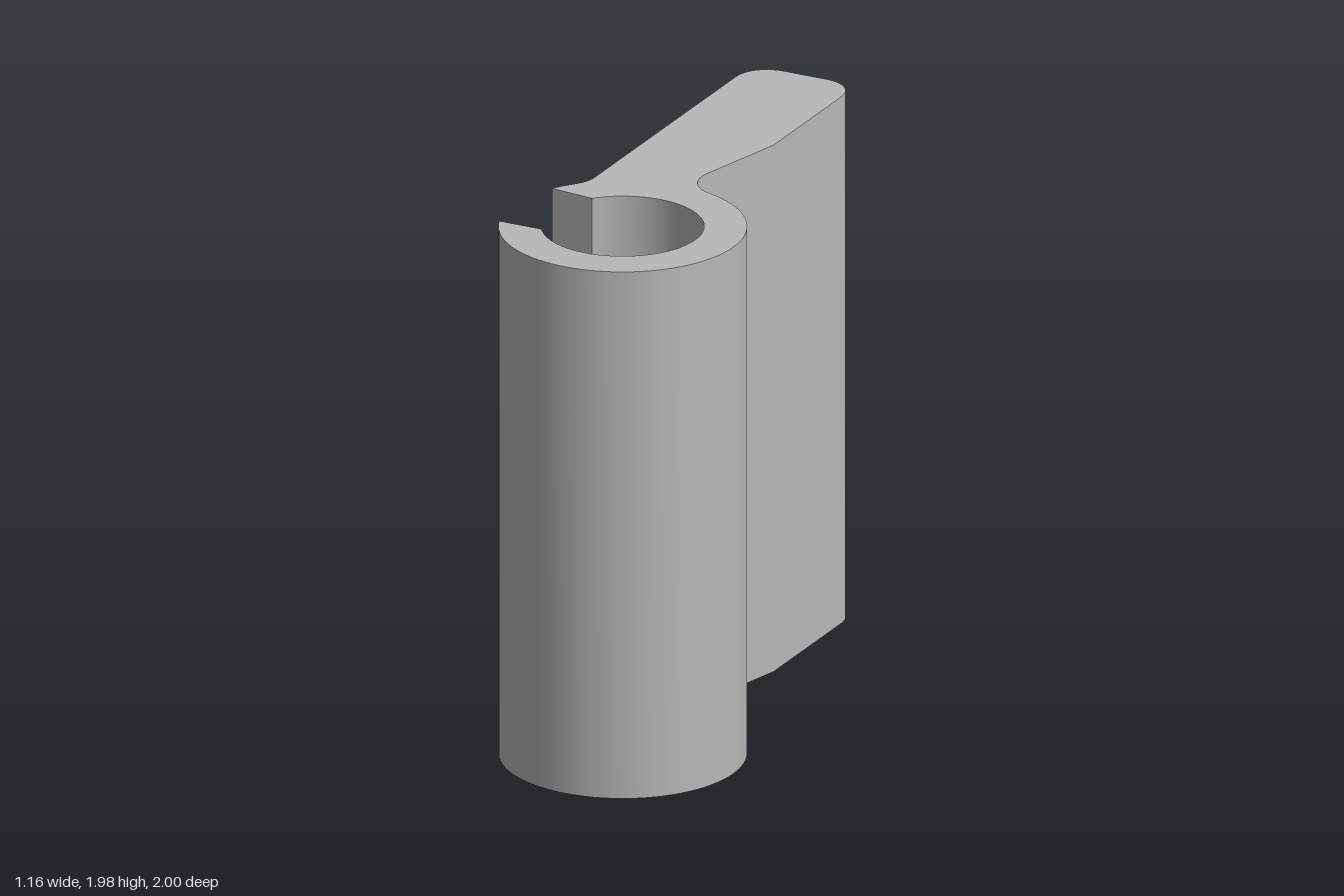
import * as THREE from 'three';
import { mergeGeometries, toCreasedNormals } from 'three/addons/utils/BufferGeometryUtils.js';
import { ConvexGeometry } from 'three/addons/geometries/ConvexGeometry.js';

const H = 1.98;                         // body height
const CX = 0.145, CZ = 0.565;           // axis of the round socket
const R = 0.435, BORE = 0.285, HOLE = 0.135, LOWER_BORE = 0.25;
const SEAT_Y = 1.22, VALLEY = -0.005;   // lowest point of the cone seat and slot
const rad = THREE.MathUtils.degToRad, lerp = THREE.MathUtils.lerp;
const V3 = (x, y, z) => new THREE.Vector3(x, y, z);

// Surface through rows of points; faces along (column direction x row direction)
function grid(rows) {
  const w = rows[0].length, index = [];
  for (let i = 0; i < rows.length - 1; i++)
    for (let j = 0; j < w - 1; j++) {
      const a = i * w + j, b = a + 1, c = a + w, d = c + 1;
      index.push(a, b, c, b, d, c);
    }
  const g = new THREE.BufferGeometry().setFromPoints(rows.flat());
  g.setIndex(index);
  return g.toNonIndexed();
}

// Flat horizontal cap from plan points {x, z}
function cap(points, hole, y, up) {
  const s = up ? -1 : 1;
  const plan = list => list.map(p => new THREE.Vector2(p.x, s * p.z));
  const shape = new THREE.Shape(plan(points));
  if (hole) shape.holes.push(new THREE.Path(plan(hole)));
  const g = new THREE.ShapeGeometry(shape).toNonIndexed();
  g.rotateX(s * Math.PI / 2).translate(0, y, 0);
  g.deleteAttribute('normal');
  g.deleteAttribute('uv');
  return g;
}

function arc(x, z, r, from, to, n) {
  return Array.from({ length: n + 1 }, (_, i) => {
    const a = lerp(from, to, i / n);
    return { x: x + r * Math.cos(a), z: z + r * Math.sin(a) };
  });
}

// V-shaped slot: v runs -1..1 across it, t runs 0..1 from bore to outside
const vFloor = z => SEAT_Y + Math.abs(z - CZ - VALLEY);
function slotPoint(v, t) {
  const dz = VALLEY + v * (v < 0 ? lerp(0.18, 0.2, t) : 0.16);
  const r = lerp(BORE, R, t);
  return { x: CX - Math.sqrt(r * r - dz * dz), z: CZ + dz };
}
const across = Array.from({ length: 25 }, (_, i) => i / 12 - 1);
const along = [0, 0.25, 0.5, 0.75, 1];
const angleOf = p => {
  const a = Math.atan2(p.z - CZ, p.x - CX);
  return a < 0 ? a + 2 * Math.PI : a;
};

function bodyGeometry() {
  // Plan outline, split where the slot opens
  const beforeSlot = [
    ...arc(-0.035, -0.88, 0.12, rad(-90), rad(-180), 10),
    ...arc(-0.281, 0.2, 0.126, 0, rad(40.6), 6),
    ...arc(CX, CZ, R, rad(219), angleOf(slotPoint(-1, 1)), 4),
  ];
  const slotMouth = across.map(v => slotPoint(v, 1));
  const afterSlot = [
    ...arc(CX, CZ, R, angleOf(slotPoint(1, 1)), rad(-73.3), 56),
    ...arc(0.309, 0.019, 0.135, rad(106.7), rad(194), 12).slice(1),
    ...arc(0.14, -0.88, 0.12, 0, rad(-90), 10),
  ];
  afterSlot.splice(-11, 0, { x: 0.26, z: -0.36 });

  // Outer wall, lowered to the slot floor at the slot mouth
  const at = (list, y) => list.map(p => V3(p.x, typeof y === 'number' ? y : y(p.z), p.z));
  const loop = [...beforeSlot, ...slotMouth, ...afterSlot, beforeSlot[0]];
  const rim = [...at(beforeSlot, H), ...at(slotMouth, vFloor), ...at([...afterSlot, beforeSlot[0]], H)];
  const outerWall = grid([at(loop, 0), rim]);

  // Stepped bore: socket wall, cone seat cut by the slot, through hole, lower bore
  const slotAngles = across.map(v => angleOf(slotPoint(v, 0)));
  const a0 = slotAngles[0], a1 = slotAngles[across.length - 1];
  const restAngles = Array.from({ length: 57 }, (_, i) => lerp(a1, a0 - 2 * Math.PI, i / 56));
  const columns = [
    ...slotAngles.map(a => ({ a, slot: true })),
    ...restAngles.map(a => ({ a, slot: false })),
    { a: a0 - 2 * Math.PI, slot: true },
  ];
  const ring = (r, yAt) => columns.map(c => {
    const z = CZ + r * Math.sin(c.a);
    return V3(CX + r * Math.cos(c.a), yAt(z, c.slot), z);
  });
  const seat = r => ring(r, (z, slot) => {
    const cone = SEAT_Y + r - HOLE;
    return slot ? Math.min(cone, vFloor(z)) : cone;
  });
  const rows = [ring(BORE, (z, slot) => slot ? vFloor(z) : H)];
  for (let i = 0; i <= 12; i++) rows.push(seat(lerp(BORE, HOLE, i / 12)));
  for (const [r, y] of [[HOLE, 0.42], [LOWER_BORE, 0.3], [LOWER_BORE, 0]]) rows.push(ring(r, () => y));
  const bore = grid(rows);

  // Slot floor and side walls
  const outIn = [...along].reverse();
  const floor = grid(outIn.map(t => at(across.map(v => slotPoint(v, t)), vFloor)));
  const side = (v, ts) => {
    const line = ts.map(t => slotPoint(v, t));
    return grid([at(line, H), at(line, vFloor)]);
  };

  // Caps
  const innerArc = restAngles.map(a => ({ x: CX + BORE * Math.cos(a), z: CZ + BORE * Math.sin(a) })).reverse();
  const top = cap([
    ...beforeSlot, ...outIn.slice(1, -1).map(t => slotPoint(-1, t)),
    ...innerArc, ...along.slice(1, -1).map(t => slotPoint(1, t)), ...afterSlot,
  ], null, H, true);
  const lowerRim = columns.filter((c, i) => i < columns.length - 2 && i !== across.length)
    .map(c => ({ x: CX + LOWER_BORE * Math.cos(c.a), z: CZ + LOWER_BORE * Math.sin(c.a) }));
  const bottom = cap([...beforeSlot, ...slotMouth.slice(1, -1), ...afterSlot], lowerRim, 0, false);

  return toCreasedNormals(
    mergeGeometries([outerWall, bore, floor, side(-1, along), side(1, outIn), top, bottom]), 0.2);
}

export function createModel() {
  const grey = new THREE.MeshStandardMaterial({ color: 0xb8b8b8 });
  grey.name = 'plain grey';
  const group = new THREE.Group();
  group.name = 'slottedSocketBracket';
  const add = (name, geometry) => {
    const mesh = new THREE.Mesh(geometry, grey);
    mesh.name = name;
    group.add(mesh);
  };

  add('socketBody', bodyGeometry());

  // T-shaped hook on the right side of the web
  const Z = -0.5975, OUT = -0.585;
  const stem = [V3(-0.15, 1.23, Z), V3(OUT, 1.23, Z)];
  const head = [];
  for (const s of [-1, 1]) {
    const z = Z + s * 0.0825, zHead = Z + s * 0.1675;
    stem.push(V3(-0.15, 0, z), V3(-0.46, 0, z), V3(OUT, 0.125, z), V3(OUT, 1.148, z), V3(-0.15, 1.148, z));
    for (const x of [OUT, -0.465])
      head.push(V3(x, 0.91, z), V3(x, 0.99, zHead), V3(x, 1.23, zHead));
  }
  add('hookStem', new ConvexGeometry(stem));
  add('hookHead', new ConvexGeometry(head));
  return group;
}
